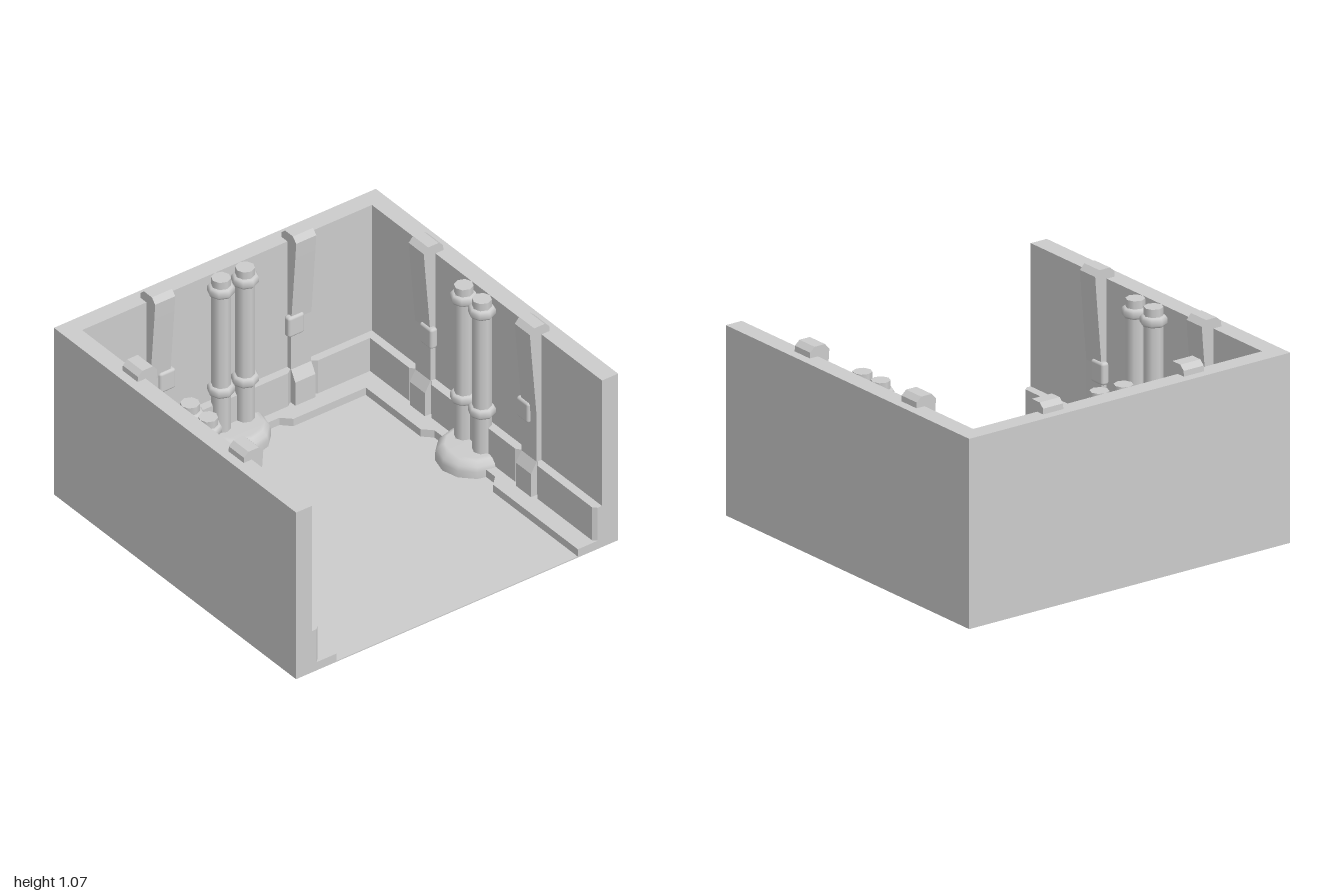
import * as THREE from 'three';
import { RoundedBoxGeometry } from 'three/addons/geometries/RoundedBoxGeometry.js';

const material = new THREE.MeshStandardMaterial({ color: 0xcccccc });

function add(parent, name, geometry, x = 0, y = 0, z = 0) {
  const mesh = new THREE.Mesh(geometry, material);
  mesh.name = name;
  mesh.position.set(x, y, z);
  parent.add(mesh);
}

const shapeOf = (pts) => new THREE.Shape(pts.map(([x, y]) => new THREE.Vector2(x, y)));
const lathe = (pts, segments, start = 0, length = Math.PI * 2) =>
  new THREE.LatheGeometry(pts.map(([r, y]) => new THREE.Vector2(r, y)), segments, start, length);

// U-shaped plan, open towards +x; `half` runs along the inner edge from the
// open end to the middle of the closed side and is mirrored for the other half
function uShape(outer, half, height) {
  const otherHalf = half.map(([x, z]) => [x, -z]).reverse();
  const shape = shapeOf([[1, -outer], [-outer, -outer], [-outer, outer], [1, outer], ...half, ...otherHalf]);
  return new THREE.ExtrudeGeometry(shape, { depth: height, bevelEnabled: false }).rotateX(-Math.PI / 2);
}

// Strap that hooks over the wall top; profile as [inward position, height]
function strapGeometry() {
  const profile = [[-0.95, 1.0], [-0.9, 1.0], [-0.9, 0.05], [-0.835, 0.05], [-0.835, 0.19],
    [-0.87, 0.25], [-0.868, 0.55], [-0.835, 0.94], [-0.828, 1.035], [-0.855, 1.065],
    [-0.92, 1.065], [-0.948, 1.04]];
  // Extruded across its width, then turned so that the profile runs along z
  return new THREE.ExtrudeGeometry(shapeOf(profile), { depth: 0.125, bevelEnabled: false })
    .translate(0, 0, -0.0625).rotateY(-Math.PI / 2);
}

// Fittings of one wall, laid out for the wall at -z
function wallFittings() {
  const fittings = new THREE.Group();
  fittings.name = 'wallFittings';

  // Half-round pipe base
  const base = [[0.19, 0], [0.19, 0.045], [0.182, 0.07], [0.16, 0.095], [0.14, 0.1], [0, 0.1]];
  add(fittings, 'pipeBase', lathe(base, 6, -Math.PI / 2, Math.PI), 0, 0, -0.85);

  const collar = [[0.05, -0.027], [0.062, -0.024], [0.07, -0.012], [0.07, 0.012], [0.062, 0.024], [0.05, 0.027]];
  for (const side of [-1, 1]) {
    // Twin pipes with collars
    const x = side * 0.075;
    add(fittings, 'pipe', new THREE.CylinderGeometry(0.05, 0.05, 0.94, 8), x, 0.54, -0.85);
    for (const y of [0.34, 0.94]) add(fittings, 'pipeCollar', lathe(collar, 8), x, y, -0.85);

    // Strap and its buckle
    add(fittings, 'strap', strapGeometry(), side * 0.438, 0, 0);
    add(fittings, 'buckle', new RoundedBoxGeometry(0.1, 0.12, 0.045, 2, 0.015), side * 0.4, 0.515, -0.8755);
  }
  return fittings;
}

export function createModel() {
  const model = new THREE.Group();
  model.name = 'openRoom';

  // Floor and the three walls
  add(model, 'floor', new THREE.BoxGeometry(2, 0.006, 2), 0, 0.003, 0);
  add(model, 'walls', uShape(1, [[1, 0.9], [-0.9, 0.9]], 1.01));

  // Skirting, trimmed at its open ends and set back behind each strap
  const face = 0.853, back = 0.873;
  const dip = [[0.53, face], [0.505, back], [0.37, back], [0.345, face]];
  add(model, 'skirting', uShape(0.9, [
    [1, back], [0.98, face],
    ...dip, ...dip.map(([x, z]) => [-x, z]).reverse(),
    [-face, face], ...dip.map(([x, z]) => [-z, x]),
  ], 0.25));

  // Low kerb, narrowed around each pipe base
  const wide = 0.75, narrow = 0.8;
  add(model, 'kerb', uShape(0.9, [[1, wide], [0.3, wide], [0.25, narrow], [-0.25, narrow],
    [-0.3, wide], [-wide, wide], [-wide, 0.3], [-narrow, 0.25]], 0.05));

  // The same fittings on all three walls
  for (const turn of [0, Math.PI / 2, Math.PI]) {
    const fittings = wallFittings();
    fittings.rotation.y = turn;
    model.add(fittings);
  }
  return model;
}
